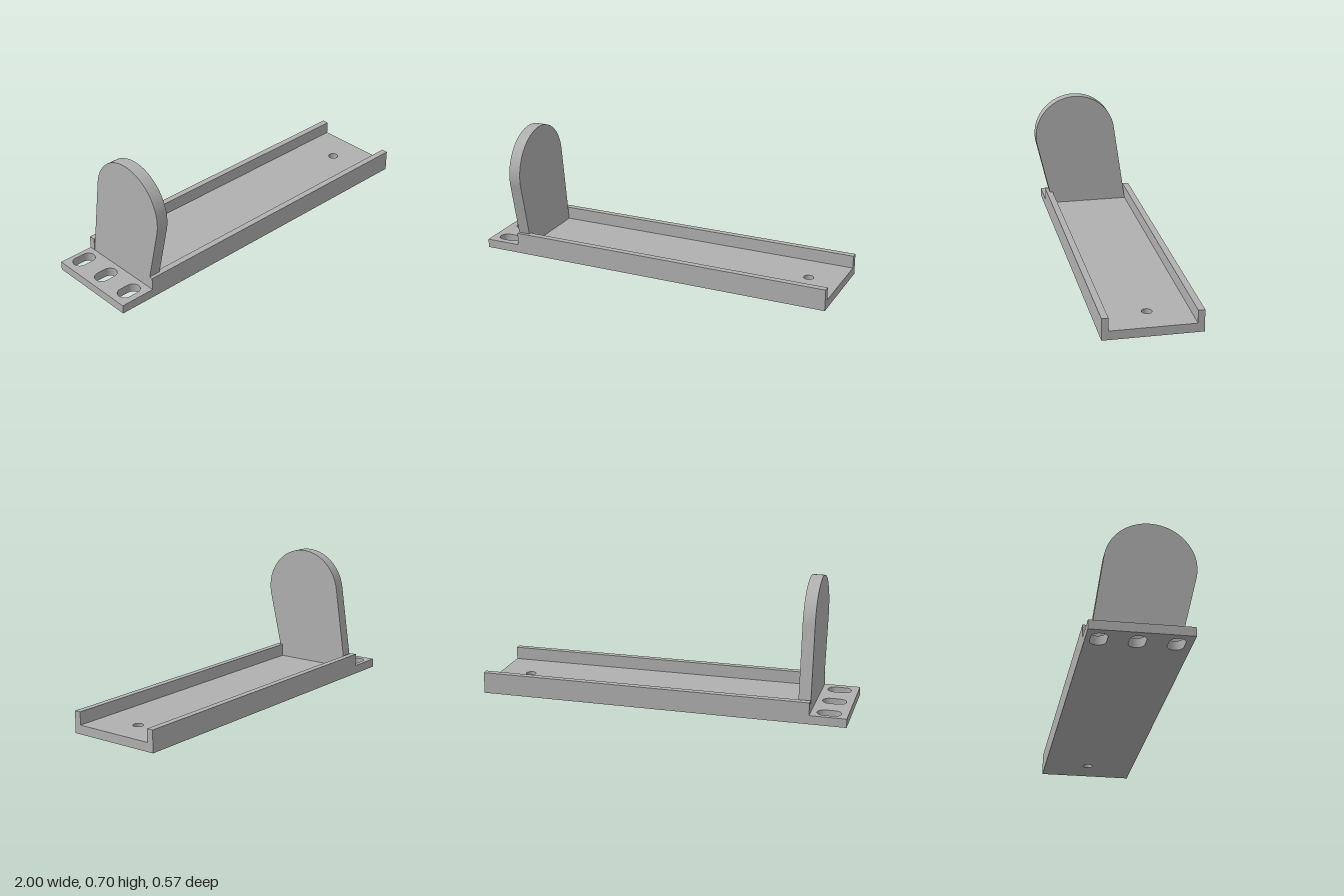
import * as THREE from 'three';
import { toCreasedNormals } from 'three/addons/utils/BufferGeometryUtils.js';

const FLOOR = 0.048, RAIL_TOP = 0.117;
const Z_BACK = -0.285, Z_FRONT = 0.227, RAIL = 0.035;
const PLATE_X0 = -0.805, PLATE_X1 = -0.74;

export function createModel() {
  const model = new THREE.Group();
  const grey = new THREE.MeshStandardMaterial({ color: 0xb0b0b0 });
  grey.name = 'grey';

  const add = (name, geometry) => {
    const mesh = new THREE.Mesh(geometry, grey);
    mesh.name = name;
    model.add(mesh);
    return mesh;
  };
  const extrude = (shape, depth) =>
    new THREE.ExtrudeGeometry(shape, { depth, bevelEnabled: false, curveSegments: 32 });

  // Floor slab with mounting slots and one screw hole (shape y is -z)
  const floor = new THREE.Shape();
  floor.moveTo(-1, -Z_FRONT).lineTo(1, -Z_FRONT).lineTo(1, -Z_BACK).lineTo(-1, -Z_BACK).closePath();
  for (const z of [-0.22, -0.036, 0.151]) {
    const slot = new THREE.Path(), r = 0.04;
    slot.absarc(-0.875, -z, r, -Math.PI / 2, Math.PI / 2, false);
    slot.absarc(-0.923, -z, r, Math.PI / 2, Math.PI * 1.5, false);
    slot.closePath();
    floor.holes.push(slot);
  }
  floor.holes.push(new THREE.Path().absarc(0.823, 0.035, 0.027, 0, Math.PI * 2, false));
  add('floor', toCreasedNormals(extrude(floor, FLOOR).rotateX(-Math.PI / 2), 0.5));

  // Side rails
  const railLength = 1 - PLATE_X0, railHeight = RAIL_TOP - FLOOR;
  for (const [name, z] of [['frontRail', Z_FRONT - RAIL / 2], ['backRail', Z_BACK + RAIL / 2]]) {
    add(name, new THREE.BoxGeometry(railLength, railHeight, RAIL))
      .position.set((1 + PLATE_X0) / 2, FLOOR + railHeight / 2, z);
  }

  // Upright end plate: straight flanks tangent to a round head (shape x is z)
  const cz = 0.05, cy = 0.47, r = 0.235;
  const footFront = Z_FRONT - RAIL, footBack = Z_BACK + RAIL;
  const tangent = (z, side) => {
    const dz = z - cz, dy = FLOOR - cy;
    return Math.atan2(dy, dz) + side * Math.acos(r / Math.hypot(dz, dy));
  };
  const plate = new THREE.Shape();
  plate.moveTo(footBack, FLOOR).lineTo(footFront, FLOOR);
  plate.absarc(cz, cy, r, tangent(footFront, 1), tangent(footBack, -1) + Math.PI * 2, false);
  plate.closePath();
  const plateGeometry = extrude(plate, PLATE_X1 - PLATE_X0).rotateY(-Math.PI / 2).translate(PLATE_X1, 0, 0);
  add('endPlate', toCreasedNormals(plateGeometry, 0.5));

  return model;
}
